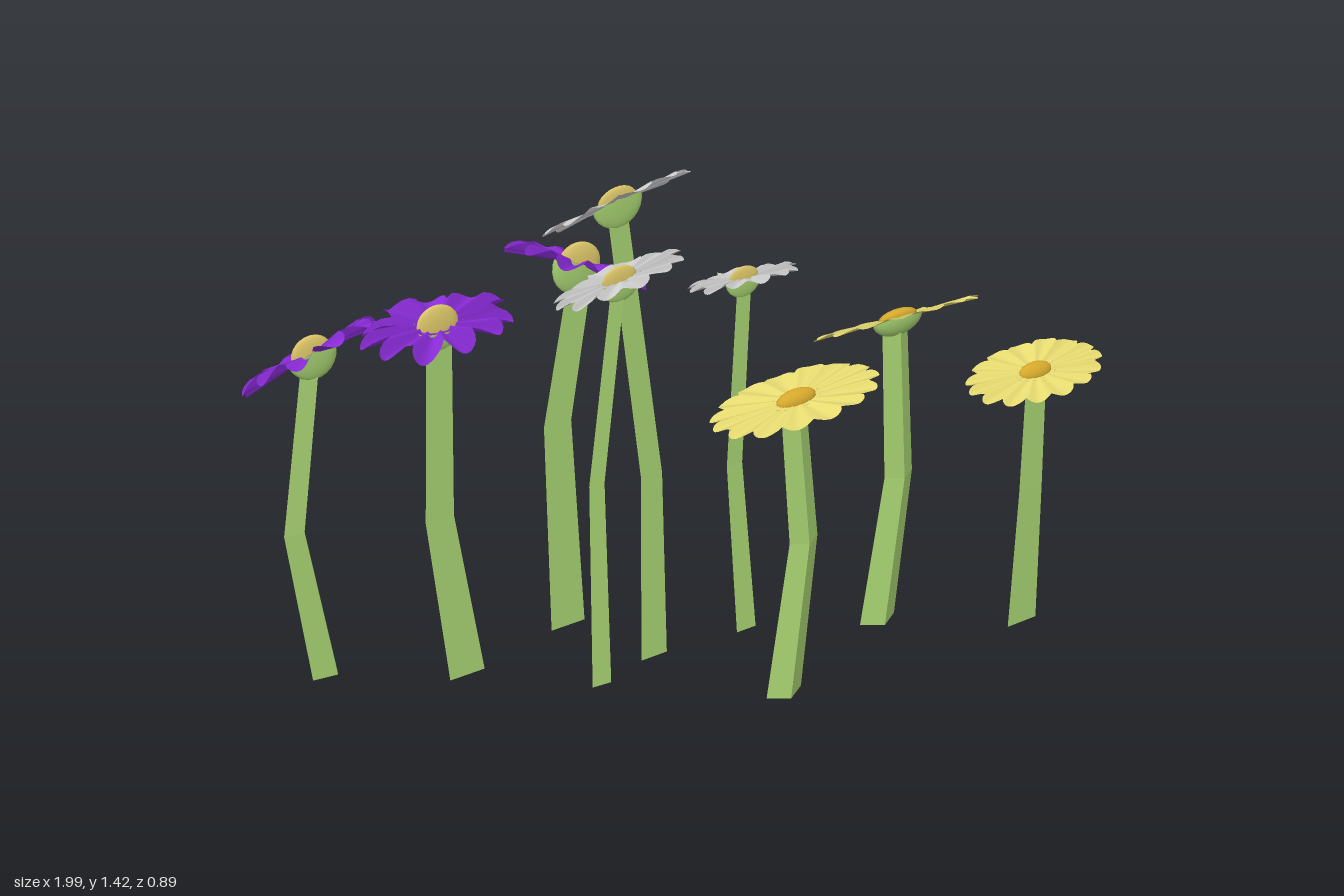
import * as THREE from 'three';

const GREEN = 0xa5d070;
const BACK = Math.PI;

// Kinds of bloom: petal count, notch depth, petal ripple, squash in z,
// dome and calyx [radius, height] as shares of the bloom radius
const YELLOW = { name: 'yellowFlower', color: 0xe6da70, heart: 0xd6a92c, n: 15, notch: 0.13, wave: 0.004, squash: 0.36, dome: [0.235, 0.1], calyx: [0.3, 0.2] };
const PURPLE = { name: 'purpleFlower', color: 0x8a2bd8, heart: 0xdcc668, n: 11, notch: 0.3, wave: 0.016, squash: 0.21, dome: [0.27, 0.25], calyx: [0.33, 0.36] };
const WHITE = { name: 'whiteFlower', color: 0xdcdcdc, heart: 0xdcc668, n: 12, notch: 0.2, wave: 0.006, squash: 0.15, dome: [0.26, 0.18], calyx: [0.33, 0.33] };

function mat(color, flatShading = false) {
  return new THREE.MeshStandardMaterial({ color, flatShading, side: THREE.DoubleSide });
}

function addMesh(parent, name, geometry, material) {
  const mesh = new THREE.Mesh(geometry, material);
  mesh.name = name;
  parent.add(mesh);
  return mesh;
}

// Scalloped disc of petals, built as rings around the centre
function petalGeometry(r, { n, notch, wave }) {
  const rings = 4, per = 10, seg = n * per, pos = [], idx = [];
  for (let i = 0; i <= rings; i++) {
    for (let j = 0; j <= seg; j++) {
      const a = (j / seg) * Math.PI * 2;
      const p = (j % per) / per;
      const petal = Math.floor(j / per) % n;
      const edge = 1 - notch * Math.pow(Math.abs(2 * p - 1), 2.5);
      const t = i / rings;
      const lift = wave * t * (Math.cos(p * Math.PI * 2) + 0.6 * Math.sin(petal * 2.4));
      pos.push(Math.sin(a) * r * edge * t, lift, Math.cos(a) * r * edge * t);
      if (i < rings && j < seg) {
        const k = i * (seg + 1) + j, m = k + seg + 1;
        idx.push(k, m, m + 1);
        if (i > 0) idx.push(k, m + 1, k + 1);
      }
    }
  }
  const g = new THREE.BufferGeometry();
  g.setAttribute('position', new THREE.Float32BufferAttribute(pos, 3));
  g.setIndex(idx);
  g.computeVertexNormals();
  return g;
}

// Three-sided tapering stem: foot, bend and head are its three levels
function stemGeometry({ foot, bend, head, thick, turn }, squash) {
  const levels = [
    [...foot, thick],
    [...bend, head[2], thick * 0.78],
    [head[0], head[1] - 0.035, head[2], thick * 0.68],
  ];
  const g = new THREE.CylinderGeometry(1, 1, 1, 3, 2, false, turn);
  const p = g.attributes.position;
  for (let i = 0; i < p.count; i++) {
    const [x, y, z, r] = levels[Math.round((p.getY(i) + 0.5) * 2)];
    p.setXYZ(i, x + p.getX(i) * r, y, z + p.getZ(i) * r * squash);
  }
  g.computeVertexNormals();
  return g;
}

// head: centre, r: bloom radius, tilt: about x and z, foot: stem base,
// bend: x and y of the knee, thick: stem radius, turn: where a stem edge points
function addFlower(model, kind, f) {
  const flower = new THREE.Group();
  flower.name = kind.name;
  model.add(flower);
  addMesh(flower, 'stem', stemGeometry(f, kind.squash), mat(GREEN, true));

  // Tilted bloom inside a head flattened in z
  const head = new THREE.Group();
  head.name = 'head';
  head.position.set(...f.head);
  head.scale.z = kind.squash;
  flower.add(head);
  const bloom = new THREE.Group();
  bloom.name = 'bloom';
  bloom.rotation.set(f.tilt[0], 0, f.tilt[1]);
  head.add(bloom);

  addMesh(bloom, 'petals', petalGeometry(f.r, kind), mat(kind.color));
  const half = (name, start, [radius, height], color) =>
    addMesh(bloom, name, new THREE.SphereGeometry(f.r, 16, 6, 0, Math.PI * 2, start, Math.PI / 2), mat(color))
      .scale.set(radius, height, radius);
  half('flowerCentre', 0, kind.dome, kind.heart);
  half('calyx', Math.PI / 2, kind.calyx, GREEN);
}

export function createModel() {
  const model = new THREE.Group();
  model.name = 'flowers';

  // Purple flowers at the back
  addFlower(model, PURPLE, { head: [-0.81, 1.02, -0.41], r: 0.195, tilt: [-0.12, 0.26], foot: [-0.845, 0.085, -0.415], bend: [-0.892, 0.54], thick: 0.046, turn: 0.45 });
  addFlower(model, PURPLE, { head: [-0.54, 1.085, -0.272], r: 0.205, tilt: [0.3, -0.06], foot: [-0.525, 0.06, -0.265], bend: [-0.57, 0.55], thick: 0.058, turn: BACK });
  addFlower(model, PURPLE, { head: [-0.08, 1.08, -0.4], r: 0.232, tilt: [-0.03, -0.47], foot: [-0.15, 0, -0.4], bend: [-0.16, 0.64], thick: 0.06, turn: BACK });

  // White flowers in the middle
  addFlower(model, WHITE, { head: [-0.14, 1.375, -0.098], r: 0.207, tilt: [-0.12, 0.18], foot: [-0.05, 0.035, -0.104], bend: [-0.055, 0.6], thick: 0.046, turn: BACK });
  addFlower(model, WHITE, { head: [-0.16, 1.195, -0.06], r: 0.182, tilt: [0.14, 0.14], foot: [-0.23, 0.045, -0.053], bend: [-0.228, 0.65], thick: 0.036, turn: 0.5 });
  addFlower(model, WHITE, { head: [0.205, 1.1, -0.077], r: 0.165, tilt: [0.07, -0.05], foot: [0.22, 0.045, -0.066], bend: [0.183, 0.57], thick: 0.035, turn: BACK });

  // Yellow flowers at the front
  addFlower(model, YELLOW, { head: [0.53, 0.99, 0.13], r: 0.25, tilt: [-0.2, -0.02], foot: [0.532, 0.065, 0.12], bend: [0.567, 0.52], thick: 0.066, turn: 0 });
  addFlower(model, YELLOW, { head: [0.09, 0.977, 0.325], r: 0.235, tilt: [0.11, 0.04], foot: [0.092, 0.115, 0.315], bend: [0.13, 0.57], thick: 0.061, turn: 0 });
  addFlower(model, YELLOW, { head: [0.785, 0.875, 0.37], r: 0.214, tilt: [0.2, -0.02], foot: [0.817, 0.105, 0.36], bend: [0.798, 0.53], thick: 0.055, turn: BACK });
  return model;
}
